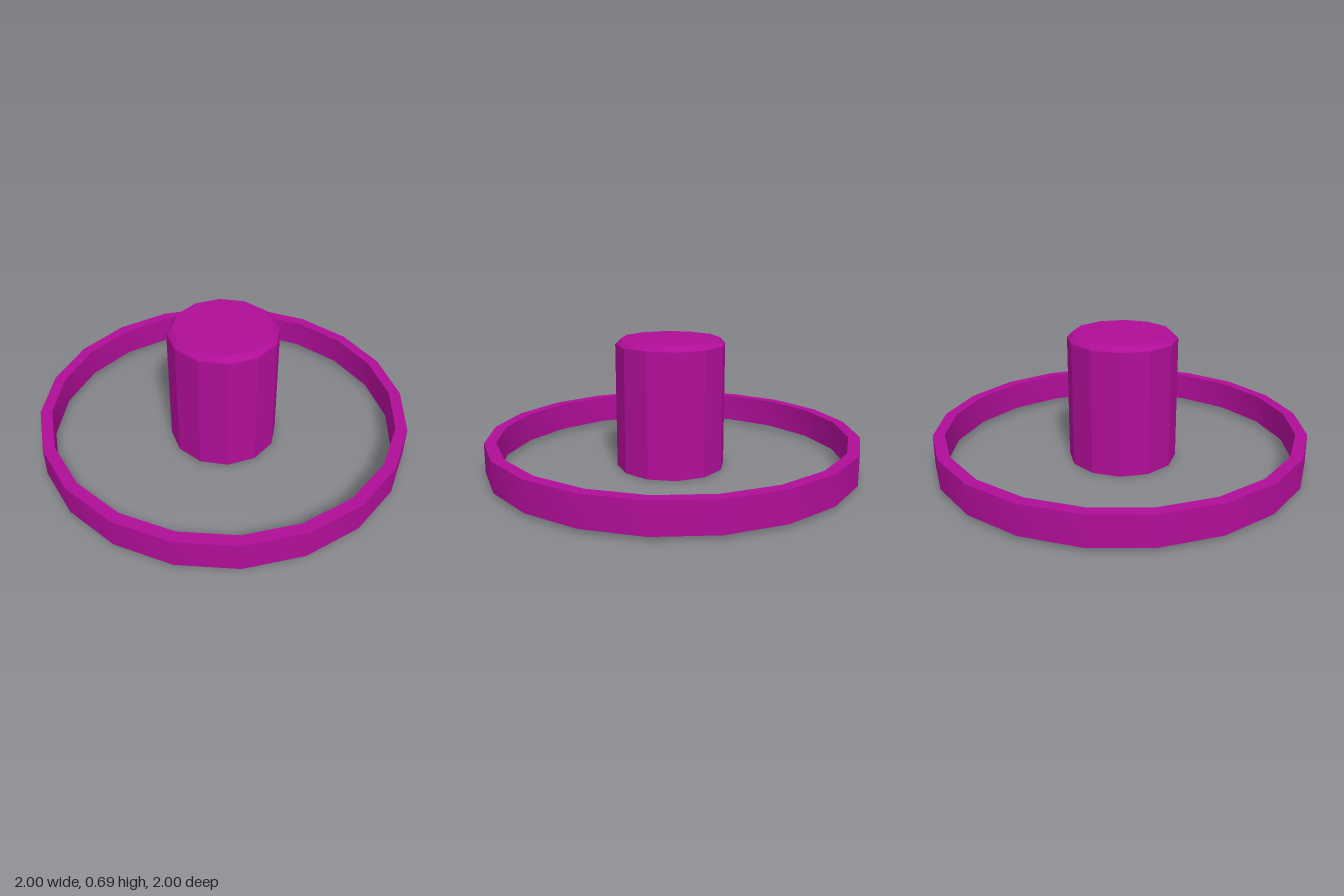
import * as THREE from 'three';
import { toCreasedNormals } from 'three/addons/utils/BufferGeometryUtils.js';

const COLOR = 0xb00e98;

// Revolve a [radius, height] profile with a given number of sides
function turned(name, profile, sides, material) {
  const points = profile.map(([r, y]) => new THREE.Vector2(r, y));
  const geometry = new THREE.LatheGeometry(points, sides);
  const mesh = new THREE.Mesh(toCreasedNormals(geometry, THREE.MathUtils.degToRad(25)), material);
  mesh.name = name;
  return mesh;
}

export function createModel() {
  const group = new THREE.Group();
  group.name = 'postAndRing';
  const material = new THREE.MeshStandardMaterial({ color: COLOR });

  // Twelve-sided post with a chamfered top, set slightly forward
  const post = turned('post', [[0, 0], [0.293, 0], [0.293, 0.667], [0.265, 0.695], [0, 0.695]], 12, material);
  post.position.z = 0.014;

  // Thin twenty-sided band around the post
  const ring = turned('ring', [[0.938, 0.018], [1, 0.018], [1, 0.178], [0.938, 0.178], [0.938, 0.018]], 20, material);

  group.add(post, ring);
  return group;
}
